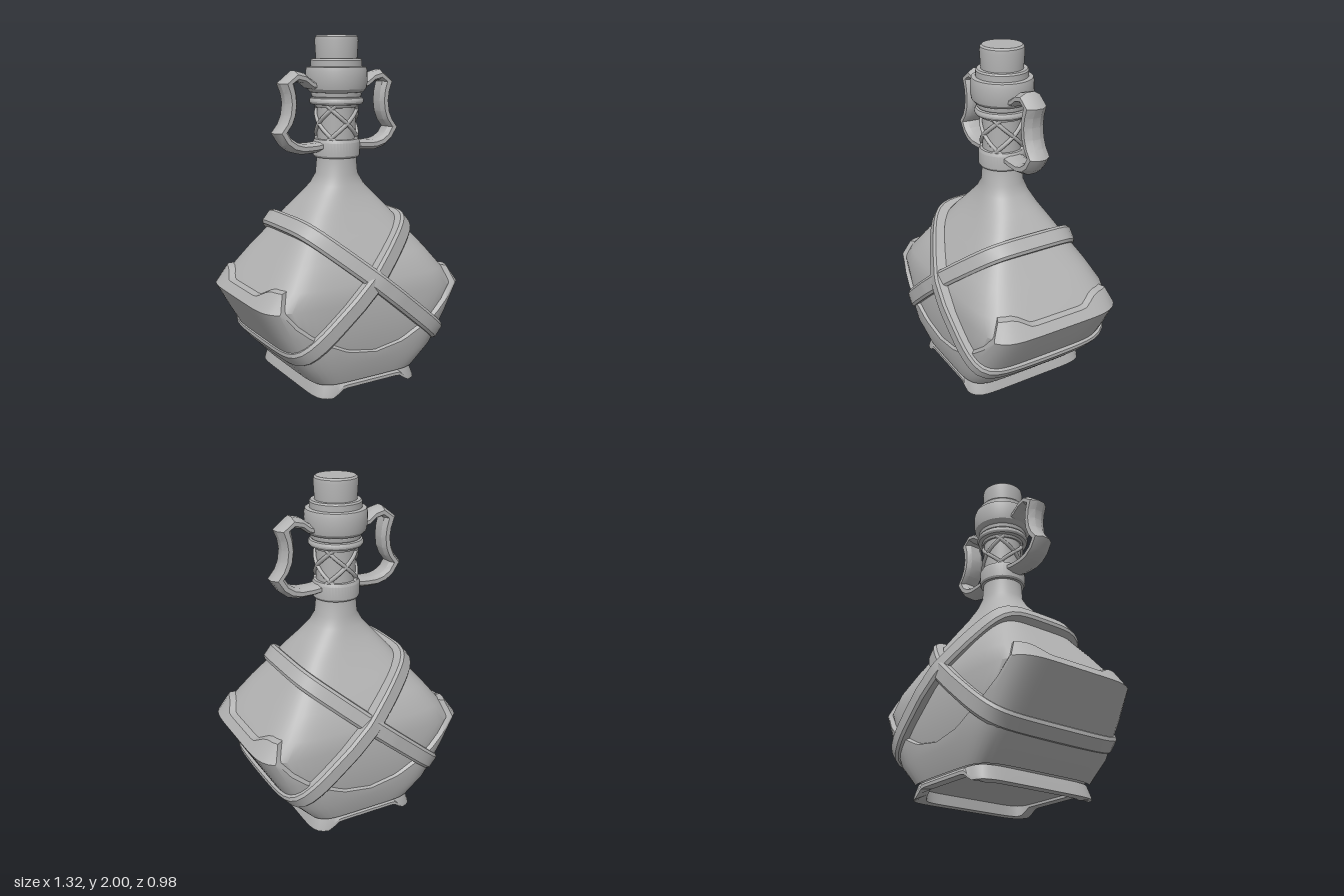
import * as THREE from 'three';
import { toCreasedNormals } from 'three/addons/utils/BufferGeometryUtils.js';

const V = (x, y, z) => new THREE.Vector3(x, y, z);

// Linear lookup in rows of [key, value, ...]; returns the values
function lookup(rows, k) {
  if (k <= rows[0][0]) return rows[0].slice(1);
  for (let i = 1; i < rows.length; i++) {
    if (k <= rows[i][0]) {
      const p = rows[i - 1], q = rows[i], t = (k - p[0]) / (q[0] - p[0]);
      return p.slice(1).map((v, j) => v + (q[j + 1] - v) * t);
    }
  }
  return rows[rows.length - 1].slice(1);
}

// Skin through closed cross-sections, wound so that it faces outwards
function loft(rings, { loop = false, caps = false, crease = 0.6 } = {}) {
  const m = rings[0].length, n = rings.length, pts = rings.flat(), tris = [];
  for (let i = 0; i < (loop ? n : n - 1); i++) {
    for (let j = 0; j < m; j++) {
      const a = i * m + j, b = i * m + (j + 1) % m;
      const k = ((i + 1) % n) * m, c = k + j, d = k + (j + 1) % m;
      tris.push([a, c, b], [b, c, d]);
    }
  }
  if (caps) {
    for (const [ring, start, flip] of [[rings[0], 0, false], [rings[n - 1], (n - 1) * m, true]]) {
      const mid = ring.reduce((s, p) => s.add(p), V(0, 0, 0)).divideScalar(m);
      const c = pts.push(mid) - 1;
      for (let j = 0; j < m; j++) {
        const a = start + j, b = start + (j + 1) % m;
        tris.push(flip ? [c, b, a] : [c, a, b]);
      }
    }
  }
  const centre = pts.reduce((s, p) => s.add(p), V(0, 0, 0)).divideScalar(pts.length);
  const rel = pts.map((p) => p.clone().sub(centre));
  let volume = 0;
  for (const [a, b, c] of tris) volume += rel[a].dot(rel[b].clone().cross(rel[c]));
  if (volume < 0) tris.forEach((t) => t.reverse());
  const g = new THREE.BufferGeometry().setFromPoints(pts);
  g.setIndex(tris.flat());
  return creased(g, crease);
}

// Scaled up meanwhile so that small details keep their own normals
function creased(g, angle) {
  g.scale(100, 100, 100);
  const out = toCreasedNormals(g, angle);
  return out.scale(0.01, 0.01, 0.01);
}

// Flask profile: height, half width, half depth, squareness
const PROFILE = [
  [0.06, 0.3, 0.375, 6], [0.09, 0.32, 0.385, 6], [0.2, 0.425, 0.42, 6], [0.4, 0.545, 0.435, 6],
  [0.55, 0.63, 0.435, 6], [0.65, 0.555, 0.42, 6], [0.77, 0.46, 0.355, 6], [0.89, 0.36, 0.28, 5.5],
  [1.0, 0.28, 0.215, 4.5], [1.08, 0.215, 0.17, 3.2], [1.15, 0.155, 0.14, 2.4],
  [1.21, 0.125, 0.122, 2], [1.32, 0.115, 0.115, 2],
];
const SIDES = 96;

// Unit rounded square, sampled by direction
function unit(j, n) {
  const t = (j / SIDES) * Math.PI * 2, c = Math.cos(t), s = Math.sin(t);
  const r = (Math.abs(c) ** n + Math.abs(s) ** n) ** (-1 / n);
  return [c * r, s * r];
}
const columns = (fn) => Array.from({ length: SIDES }, (_, j) => fn(j));

function bodyPoint(j, y, out = 0) {
  const [a, b, n] = lookup(PROFILE, y), [X, Z] = unit(j, n);
  return V(X * (a + out * 1.8), y, Z * (b + out));
}

// Top edge of the lower casing: dips on front and back, notched at the sides
function casingTop(j) {
  const [X, Z] = unit(j, 6).map(Math.abs);
  const front = lookup([[0, 0.245], [0.37, 0.275], [0.7, 0.37], [0.86, 0.49], [0.93, 0.65]], X)[0];
  const side = lookup([[0, 0.6], [0.4, 0.6], [0.62, 0.65]], Z)[0];
  return Math.min(front, side);
}

function casingGeometry() {
  const levels = [0.08, 0.2, 0.3, 0.4, 0.55, 1];
  const rings = levels.map((y) => columns((j) => bodyPoint(j, Math.min(y, casingTop(j)), 0.018)));
  rings.push(columns((j) => bodyPoint(j, casingTop(j) + 0.008, -0.004)));
  return loft(rings);
}

// Hollow foot ring, arched along the front and back
function footGeometry() {
  const ring = (a, b, height) => columns((j) => {
    const [X, Z] = unit(j, 8);
    return V(X * a, height(Math.abs(X * a), Math.abs(Z)), Z * b);
  });
  const low = (x, Z) => (Z > 0.85 ? lookup([[0.19, 0.045], [0.25, 0]], x)[0] : 0);
  return loft([
    ring(0.3, 0.37, () => 0.085), ring(0.315, 0.385, () => 0.08), ring(0.335, 0.4, (x, Z) => low(x, Z) + 0.018),
    ring(0.34, 0.4, low), ring(0.285, 0.345, low), ring(0.285, 0.345, () => 0.085),
  ], { loop: true, crease: 0.5 });
}

// Bevelled strap that follows the flask around a slanted plane
function strapGeometry(side, lift) {
  const u = V(0.765 * side, -0.643, 0), w = V(0.643 * side, 0.765, 0);
  const centre = V(0.07 * side, 0.596, 0), rings = [], count = 80;
  const inside = (p) => {
    const [a, b, n] = lookup(PROFILE, p.y);
    return Math.abs(p.x / (a + 0.012)) ** n + Math.abs(p.z / (b + 0.012)) ** n < 1;
  };
  for (let i = 0; i < count; i++) {
    const t = (i / count) * Math.PI * 2;
    const d = u.clone().multiplyScalar(Math.cos(t)).add(V(0, 0, Math.sin(t)));
    let lo = 0, hi = 1;
    for (let k = 0; k < 24; k++) {
      const mid = (lo + hi) / 2;
      if (inside(centre.clone().addScaledVector(d, mid))) lo = mid; else hi = mid;
    }
    const section = [[-0.03, -0.052], [0.018, -0.052], [0.032, -0.036], [0.032, 0.036], [0.018, 0.052], [-0.03, 0.052]];
    rings.push(section.map(([o, s]) =>
      centre.clone().addScaledVector(d, lo + o + (o > 0 ? lift : 0)).addScaledVector(w, s)));
  }
  return loft(rings, { loop: true, crease: 0.5 });
}

// Handle: pairs of inner and outer points with a ridged section
function handleGeometry() {
  const pairs = [
    [0.14, 1.69, 0.14, 1.75], [0.19, 1.705, 0.18, 1.755], [0.23, 1.735, 0.225, 1.79], [0.275, 1.745, 0.285, 1.805],
    [0.295, 1.735, 0.375, 1.735], [0.282, 1.68, 0.352, 1.68], [0.277, 1.62, 0.343, 1.625],
    [0.285, 1.56, 0.352, 1.56], [0.305, 1.51, 0.374, 1.51], [0.338, 1.467, 0.413, 1.462],
    [0.315, 1.43, 0.365, 1.39], [0.275, 1.405, 0.315, 1.352], [0.235, 1.395, 0.25, 1.335],
    [0.17, 1.395, 0.17, 1.338], [0.12, 1.4, 0.12, 1.345],
  ];
  const section = [[0, 0.035], [0.25, 0.062], [0.65, 0.062], [1, 0.024], [1, -0.024], [0.65, -0.062], [0.25, -0.062], [0, -0.035]];
  const rings = pairs.map(([ix, iy, ox, oy]) =>
    section.map(([t, z]) => V(ix + (ox - ix) * t, iy + (oy - iy) * t, z)));
  return loft(rings, { caps: true, crease: 0.55 });
}

const turned = (points) =>
  creased(new THREE.LatheGeometry(points.map(([r, y]) => new THREE.Vector2(r, y)), 48), 0.5);

export function createModel() {
  const group = new THREE.Group();
  const grey = new THREE.MeshStandardMaterial({ color: 0xb2b2b2 });
  grey.name = 'plain grey';
  const add = (name, geometry) => {
    const mesh = new THREE.Mesh(geometry, grey);
    mesh.name = name;
    group.add(mesh);
    return mesh;
  };

  // Flask, casing and foot
  add('flaskBody', loft(PROFILE.map(([y]) => columns((j) => bodyPoint(j, y))), { caps: true }));
  add('lowerCasing', casingGeometry());
  add('footRing', footGeometry());

  // Crossed straps
  add('upperStrap', strapGeometry(1, 0.01));
  add('lowerStrap', strapGeometry(-1, 0));

  // Neck, collars and cork
  add('neck', turned([[0.115, 1.28], [0.112, 1.5], [0.115, 1.65]]));
  add('lowerCollar', turned([[0.11, 1.305], [0.13, 1.308], [0.137, 1.32], [0.137, 1.395], [0.128, 1.412], [0.1, 1.415]]));
  add('neckRings', turned([
    [0.1, 1.592], [0.122, 1.595], [0.128, 1.61], [0.15, 1.613], [0.157, 1.625], [0.157, 1.635], [0.15, 1.648],
    [0.138, 1.652], [0.145, 1.66], [0.147, 1.675], [0.14, 1.69],
  ]));
  add('upperCollar', turned([
    [0.13, 1.675], [0.155, 1.682], [0.172, 1.7], [0.178, 1.73], [0.178, 1.8], [0.172, 1.822], [0.148, 1.826],
    [0.148, 1.86], [0.141, 1.87], [0.11, 1.87],
  ]));
  add('cork', turned([[0.118, 1.85], [0.125, 1.97], [0.122, 1.99], [0.112, 2], [0, 2]]));

  // Crossed wires wound on the neck
  for (const dir of [1, -1]) {
    for (let k = 0; k < 4; k++) {
      const path = Array.from({ length: 13 }, (_, i) => {
        const t = i / 12, angle = (k * Math.PI) / 2 + dir * (t - 0.5) * 1.95;
        return V(Math.sin(angle) * 0.118, 1.405 + t * 0.2, Math.cos(angle) * 0.118);
      });
      add('neckWire', new THREE.TubeGeometry(new THREE.CatmullRomCurve3(path), 24, 0.012, 6));
    }
  }

  // Handles on both sides
  const handle = handleGeometry();
  add('leftHandle', handle);
  add('rightHandle', handle).rotation.y = Math.PI;
  return group;
}
